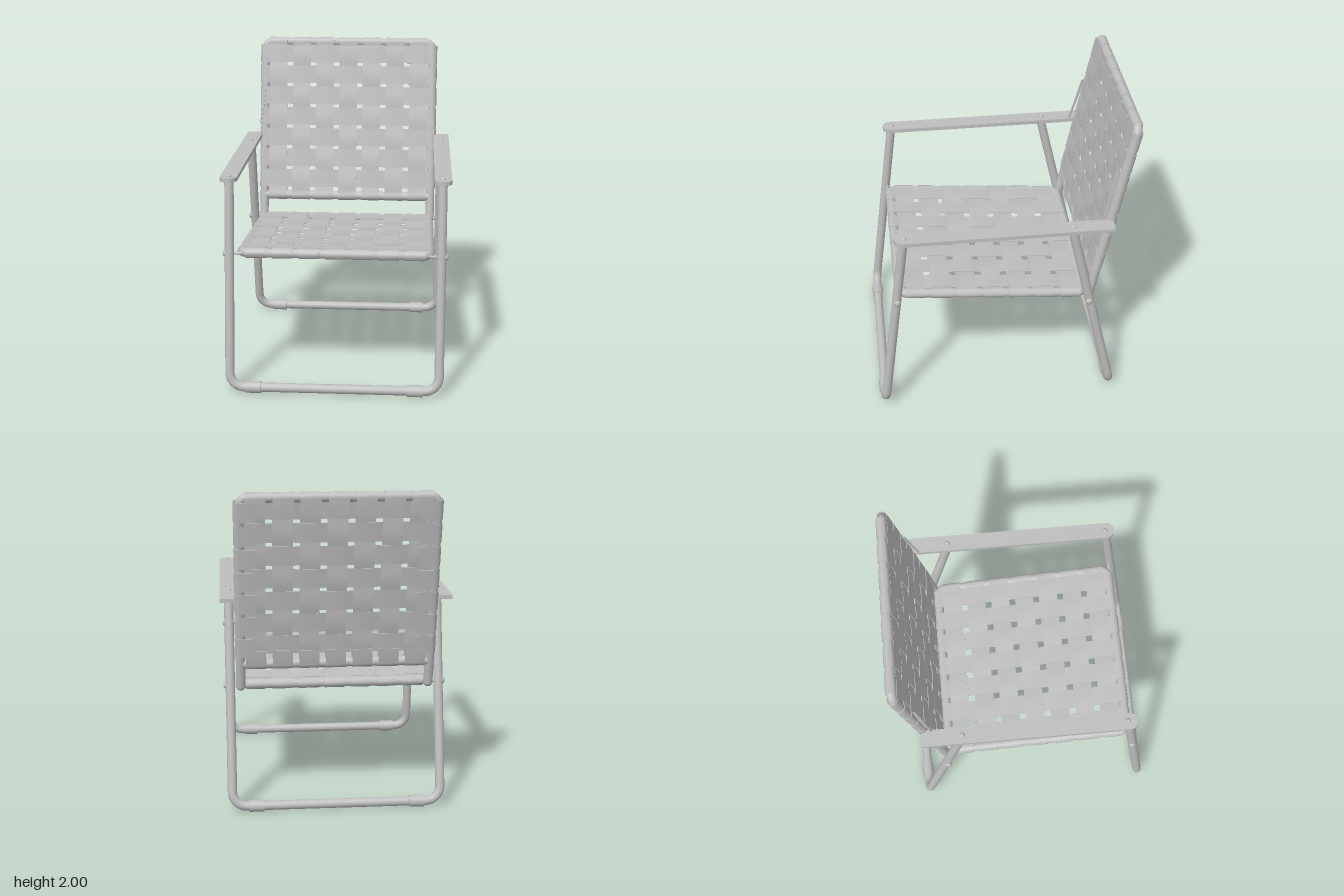
import * as THREE from 'three';
import { toCreasedNormals } from 'three/addons/utils/BufferGeometryUtils.js';

const R = 0.029; // frame tube radius
const metal = new THREE.MeshStandardMaterial({ color: 0xbebebe });
metal.name = 'light grey';
const V = (x, y, z) => new THREE.Vector3(x, y, z);

function add(parent, name, geometry, x = 0, y = 0, z = 0) {
  const mesh = new THREE.Mesh(geometry, metal);
  mesh.name = name;
  mesh.position.set(x, y, z);
  parent.add(mesh);
  return mesh;
}

// Tube along straight runs with rounded corners
function bentTube(points, r, segments) {
  const path = new THREE.CurvePath();
  let from = points[0];
  for (let i = 1; i < points.length - 1; i++) {
    const p = points[i];
    const a = points[i - 1].clone().sub(p).setLength(r).add(p);
    const b = points[i + 1].clone().sub(p).setLength(r).add(p);
    const k = 0.552;
    path.add(new THREE.LineCurve3(from, a));
    path.add(new THREE.CubicBezierCurve3(a, a.clone().lerp(p, k), b.clone().lerp(p, k), b));
    from = b;
  }
  path.add(new THREE.LineCurve3(from, points[points.length - 1]));
  return new THREE.TubeGeometry(path, segments, R, 16, false);
}

// Strap that weaves and sags across a frame and folds round the tubes at both ends
function strapGeometry(half, pitch, width, parity, sag) {
  const t = 0.004, q = R + t / 2, wave = 0.004, mid = [];
  const arc = (cx, a0, a1) => {
    for (let i = 0; i <= 10; i++) {
      const a = THREE.MathUtils.lerp(a0, a1, i / 10);
      mid.push([cx + q * Math.cos(a), q * Math.sin(a)]);
    }
  };
  mid.push([-half + 0.1, -q]);
  arc(-half, Math.PI * 1.5, Math.PI / 2);
  for (let i = 1; i < 56; i++) {
    const u = -1 + i / 28, s = half * u;
    mid.push([s, q - wave - sag * (1 - u * u) + parity * wave * Math.cos((Math.PI * s) / pitch)]);
  }
  arc(half, Math.PI / 2, -Math.PI / 2);
  mid.push([half - 0.1, -q]);

  const upper = [], lower = [];
  mid.forEach(([s, h], i) => {
    const a = mid[Math.max(i - 1, 0)], b = mid[Math.min(i + 1, mid.length - 1)];
    const n = new THREE.Vector2(a[1] - b[1], b[0] - a[0]).setLength(t / 2);
    upper.push(new THREE.Vector2(s + n.x, h + n.y));
    lower.unshift(new THREE.Vector2(s - n.x, h - n.y));
  });
  const geo = new THREE.ExtrudeGeometry(new THREE.Shape([...upper, ...lower]), { depth: width, bevelEnabled: false });
  geo.translate(0, 0, -width / 2).rotateX(Math.PI / 2);
  return toCreasedNormals(geo, 0.6);
}

// Woven panel: local x across, y along, z towards the sitter
function wovenPanel(name, start, end, halfX, pitchY, shift) {
  const panel = new THREE.Group();
  panel.name = name;
  const along = end.clone().sub(start);
  const halfY = along.length() / 2, pitchX = 0.163, width = 0.123;
  panel.position.copy(start).add(end).multiplyScalar(0.5);
  panel.rotation.x = Math.atan2(along.z, along.y);
  for (let i = -3; i <= 3; i++) {
    const parity = i % 2 === 0 ? 1 : -1;
    const x = i * pitchX, y = i * pitchY + shift;
    const sagAt = (u) => 0.01 * (1 - u * u);
    add(panel, 'crossStrap', strapGeometry(halfX, pitchX, width, parity, sagAt(y / halfY)), 0, y, 0);
    add(panel, 'longStrap', strapGeometry(halfY, pitchY, width, -parity, sagAt(x / halfX)).rotateZ(Math.PI / 2), x, 0, 0);
  }
  return panel;
}

// Leg frame: a U of tube with two sleeves on its floor bar
function legFrame(name, topZ, floorZ) {
  const g = new THREE.Group();
  g.name = name;
  const x = 0.649, y = 0.038;
  add(g, 'legTube', bentTube([V(-x, 1.325, topZ), V(-x, y, floorZ), V(x, y, floorZ), V(x, 1.325, topZ)], 0.09, 200));
  for (const s of [-1, 1]) {
    add(g, 'floorSleeve', new THREE.CylinderGeometry(0.037, 0.037, 0.095, 20).rotateZ(Math.PI / 2), s * 0.5, y, floorZ);
  }
  return g;
}

export function createModel() {
  const chair = new THREE.Group();
  chair.name = 'foldingChair';
  chair.add(legFrame('frontLegFrame', 0.62, 0.785), legFrame('rearLegFrame', -0.41, -0.705));

  // Seat frame and webbing
  const sx = 0.574, seatFront = V(0, 0.873, 0.652), seatBack = V(0, 0.77, -0.515);
  const at = (p, x) => V(x, p.y, p.z);
  add(chair, 'seatFrame', bentTube([at(seatFront, 0), at(seatFront, sx), at(seatBack, sx),
    at(seatBack, -sx), at(seatFront, -sx), at(seatFront, 0)], 0.045, 240));
  chair.add(wovenPanel('seatWebbing', seatFront, seatBack, sx, 0.164, 0));

  // Backrest frame, lower bar and webbing
  const bx = 0.584, foot = V(0, 0.765, -0.543), top = V(0, 1.967, -0.788), low = V(0, 0.915, -0.573);
  add(chair, 'backFrame', bentTube([at(foot, -bx), at(top, -bx), at(top, bx), at(foot, bx)], 0.055, 240));
  add(chair, 'backLowerBar', new THREE.CylinderGeometry(R, R, 2 * bx, 16).rotateZ(Math.PI / 2), 0, low.y, low.z);
  chair.add(wovenPanel('backWebbing', low, top, bx, 0.1455, 0.018));

  // Armrest board with a rounded front end
  const board = new THREE.Shape();
  board.moveTo(-0.053, -0.665).lineTo(0.053, -0.665).lineTo(0.053, 0.622);
  board.absarc(0, 0.622, 0.053, 0, Math.PI, false);
  board.closePath();
  const boardGeo = toCreasedNormals(new THREE.ExtrudeGeometry(board,
    { depth: 0.025, bevelEnabled: false, curveSegments: 20 }).rotateX(Math.PI / 2), 0.6);

  // Thin tapered side strip between backrest and armrest
  const strip = new THREE.Shape([[-0.69, 1.66], [-0.66, 1.53], [-0.606, 1.33], [-0.598, 1.345], [-0.672, 1.655]]
    .map(([z, y]) => new THREE.Vector2(z, y)));

  for (const s of [-1, 1]) {
    add(chair, 'armrest', boardGeo, s * 0.652, 1.345, 0);
    for (const z of [0.615, -0.415]) {
      const rivet = add(chair, 'armRivet', new THREE.SphereGeometry(0.017, 16, 10), s * 0.65, 1.345, z);
      rivet.scale.y = 0.8;
    }
    // Pivot bolts joining legs, seat and backrest
    for (const [y, z] of [[0.873, 0.668], [0.77, -0.537]]) {
      add(chair, 'pivotBolt', new THREE.CylinderGeometry(0.01, 0.01, 0.1, 12).rotateZ(Math.PI / 2), s * 0.625, y, z);
      const head = add(chair, 'boltHead', new THREE.SphereGeometry(0.022, 16, 10), s * 0.675, y, z + 0.006);
      head.scale.x = 0.75;
    }
    add(chair, 'backFootCap', new THREE.SphereGeometry(R, 16, 10), s * bx, foot.y, foot.z);

    const geo = new THREE.ExtrudeGeometry(strip, { depth: 0.006, bevelEnabled: false }).rotateY(-Math.PI / 2);
    const p = geo.attributes.position;
    for (let i = 0; i < p.count; i++) p.setX(i, p.getX(i) + s * (0.575 + (1.66 - p.getY(i)) * 0.1));
    geo.computeVertexNormals();
    add(chair, 'sideStrip', geo);
  }
  return chair;
}
